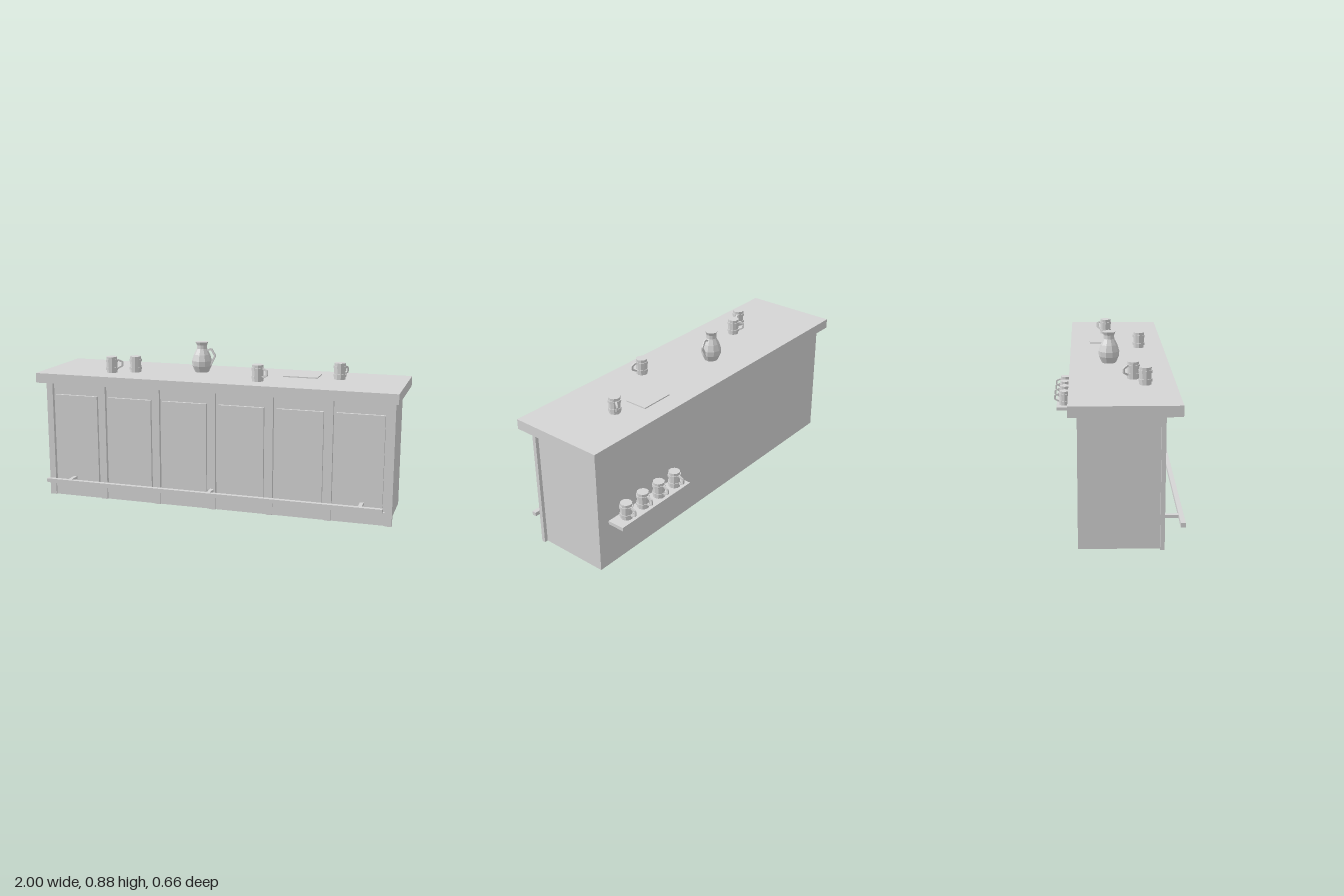
import * as THREE from 'three';

export function createModel() {
  const model = new THREE.Group();
  model.name = 'barCounter';
  const grey = new THREE.MeshStandardMaterial({ color: 0xd4d4d4 });
  grey.name = 'plain grey';
  grey.flatShading = true;

  const add = (parent, name, geometry, x = 0, y = 0, z = 0) => {
    const mesh = new THREE.Mesh(geometry, grey);
    mesh.name = name;
    mesh.position.set(x, y, z);
    parent.add(mesh);
    return mesh;
  };
  // Box given by its limits on each axis
  const box = (name, x0, x1, y0, y1, z0, z1) =>
    add(model, name, new THREE.BoxGeometry(x1 - x0, y1 - y0, z1 - z0),
      (x0 + x1) / 2, (y0 + y1) / 2, (z0 + z1) / 2);

  // Cabinet and worktop
  box('cabinet', -0.959, 0.959, 0, 0.665, -0.18, 0.21);
  box('worktop', -1, 1, 0.663, 0.717, -0.222, 0.308);

  // Front: base board, raised panels and the posts between them
  box('baseBoard', -0.959, 0.959, 0, 0.07, 0.205, 0.222);
  for (let i = 0; i < 6; i++) {
    const c = -0.8 + i * 0.32;
    box('frontPanel', c - 0.126, c + 0.126, 0.09, 0.585, 0.205, 0.226);
  }
  for (let i = 0; i < 7; i++) {
    const c = -0.96 + i * 0.32;
    box('frontPost', c - 0.018, c + 0.018, 0, 0.665, 0.21, 0.231);
  }

  // Foot rail on three brackets
  box('footRail', -0.945, 0.941, 0.1, 0.122, 0.309, 0.333);
  for (const x of [-0.82, 0, 0.82]) {
    box('railBracket', x - 0.01, x + 0.01, 0.101, 0.117, 0.205, 0.312);
  }

  // Shelf behind the counter and flat board on top
  box('mugShelf', 0.418, 0.93, 0.287, 0.306, -0.316, -0.222);
  box('servingBoard', 0.335, 0.525, 0.715, 0.723, -0.112, 0.015);

  // Bent handle cut from a flat strip, pointing along +x
  const handle = (parent, points, width) => {
    const shape = new THREE.Shape(points.map(p => new THREE.Vector2(...p)));
    const geometry = new THREE.ExtrudeGeometry(shape, { depth: width, bevelEnabled: false });
    geometry.translate(0, 0, -width / 2);
    add(parent, 'handle', geometry);
  };

  // Banded mug, its handle turned towards (dx, dz)
  const mug = (x, y, z, dx, dz) => {
    const group = new THREE.Group();
    group.name = 'mug';
    group.position.set(x, y, z);
    group.rotation.y = Math.atan2(-dz, dx);
    add(group, 'mugBody', new THREE.CylinderGeometry(0.031, 0.031, 0.088, 10), 0, 0.044, 0);
    for (const h of [0.022, 0.066]) {
      add(group, 'mugBand', new THREE.CylinderGeometry(0.035, 0.035, 0.014, 10), 0, h, 0);
    }
    handle(group, [[0.026, 0.019], [0.037, 0.019], [0.06, 0.031], [0.063, 0.037], [0.063, 0.056],
      [0.058, 0.063], [0.036, 0.073], [0.026, 0.073], [0.026, 0.063], [0.036, 0.063],
      [0.053, 0.055], [0.053, 0.037], [0.036, 0.029], [0.026, 0.029]], 0.009);
    model.add(group);
  };
  mug(-0.608, 0.717, 0.155, 0.92, -0.4);
  mug(-0.488, 0.717, 0.101, -0.55, -0.83);
  mug(0.236, 0.717, 0.168, 0.95, 0.3);
  mug(0.641, 0.717, -0.014, 0.55, -0.83);
  for (let i = 0; i < 4; i++) mug(0.487 + i * 0.121, 0.305, -0.268, 0, -1);

  // Faceted jug
  const jug = new THREE.Group();
  jug.name = 'jug';
  jug.position.set(-0.136, 0.717, -0.012);
  const profile = [[0, 0], [0.038, 0], [0.054, 0.035], [0.056, 0.063], [0.045, 0.098],
    [0.029, 0.13], [0.028, 0.15], [0.036, 0.168], [0, 0.168]];
  add(jug, 'jugBody', new THREE.LatheGeometry(profile.map(p => new THREE.Vector2(...p)), 10));
  handle(jug, [[0.045, 0.038], [0.055, 0.038], [0.079, 0.085], [0.08, 0.097], [0.06, 0.132],
    [0.05, 0.135], [0.026, 0.122], [0.026, 0.113], [0.048, 0.123], [0.053, 0.122],
    [0.071, 0.092], [0.048, 0.048]], 0.008);
  model.add(jug);

  return model;
}
